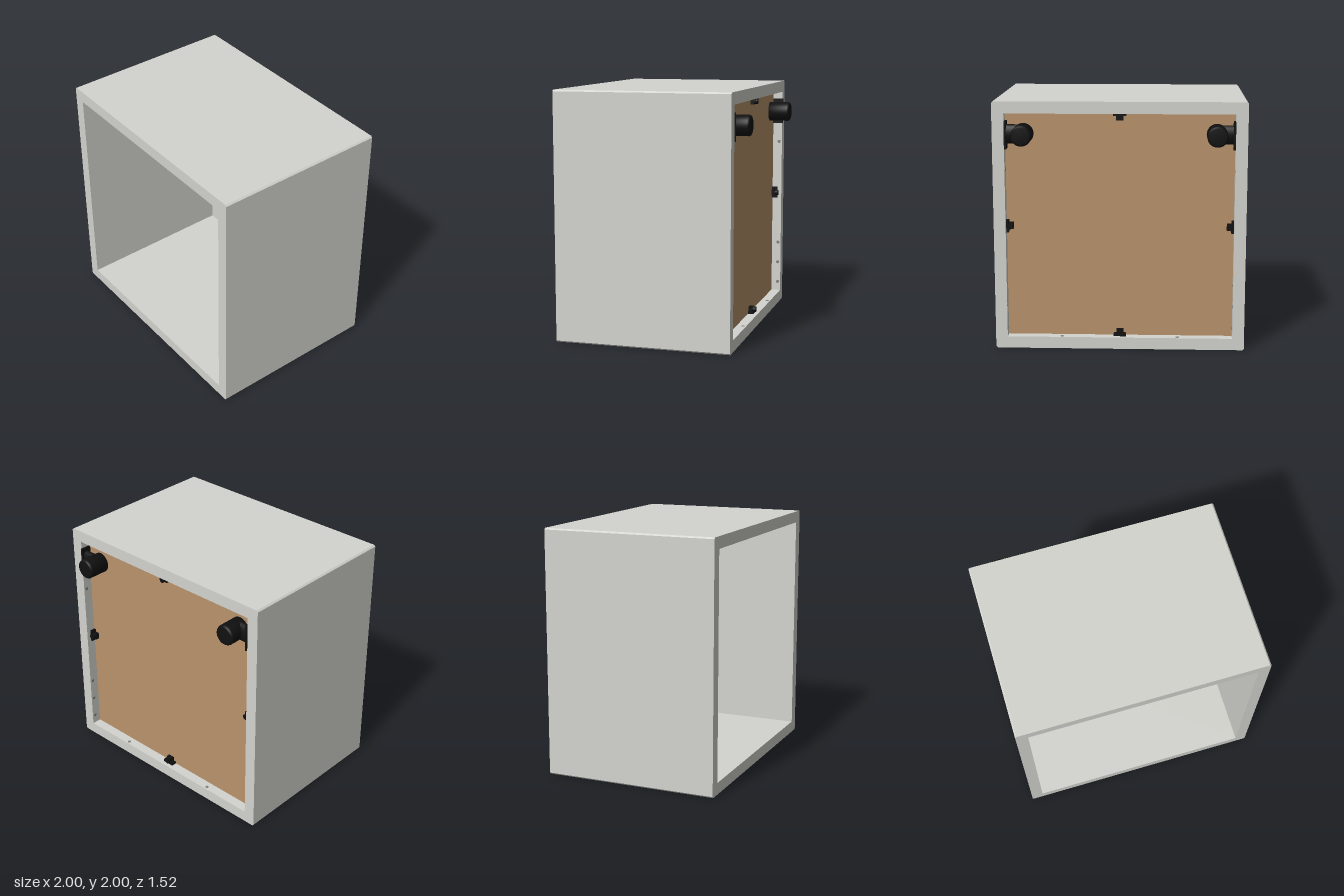
import * as THREE from 'three';

const INNER = 0.905;            // half size of the opening
const BACK = -0.66, FRONT = 0.76;
const PANEL_BACK = -0.58, PANEL_FRONT = -0.555;

export function createModel() {
  const mat = (name, color) => {
    const m = new THREE.MeshStandardMaterial({ color });
    m.name = name;
    return m;
  };
  const grey = mat('paleGreyLaminate', 0xd4d4cf);
  const brown = mat('brownHardboard', 0xba946c);
  const black = mat('blackPlastic', 0x111111);
  const dark = mat('holeGrey', 0x85857f);

  const model = new THREE.Group();
  model.name = 'wallCabinet';
  const add = (parent, name, geo, material, x = 0, y = 0, z = 0) => {
    const m = new THREE.Mesh(geo, material);
    m.name = name;
    m.position.set(x, y, z);
    parent.add(m);
    return m;
  };

  // Mitred board with a small chamfer at each outer corner
  const c = 0.012;
  const shape = new THREE.Shape([
    [-INNER, INNER], [INNER, INNER], [1 - c / 2, 1 - c / 2], [1 - c, 1],
    [-1 + c, 1], [-1 + c / 2, 1 - c / 2],
  ].map(([x, y]) => new THREE.Vector2(x, y)));
  const boardGeo = new THREE.ExtrudeGeometry(shape, { depth: FRONT - BACK, bevelEnabled: false });

  const clipPlate = new THREE.BoxGeometry(0.1, 0.02, 0.045);
  const clipTongue = new THREE.BoxGeometry(0.055, 0.055, 0.03);
  const clipPin = new THREE.CylinderGeometry(0.02, 0.024, 0.03, 16).rotateX(Math.PI / 2);
  const holeGeo = new THREE.CylinderGeometry(0.014, 0.014, 0.004, 16);

  // Four sides: board, panel clip and screw holes
  ['topSide', 'leftSide', 'bottomSide', 'rightSide'].forEach((name, i) => {
    const side = new THREE.Group();
    side.name = name;
    side.position.y = 1;
    side.rotation.z = -i * Math.PI / 2;
    model.add(side);
    add(side, 'board', boardGeo, grey, 0, 0, BACK);

    const clip = new THREE.Group();
    clip.name = 'panelClip';
    clip.position.set(0, INNER, PANEL_BACK);
    side.add(clip);
    add(clip, 'clipPlate', clipPlate, black, 0, -0.01, -0.0225);
    add(clip, 'clipTongue', clipTongue, black, 0, -0.028, -0.015);
    add(clip, 'clipPin', clipPin, black, 0, -0.03, -0.042);

    const heights = [0.46, -0.46, -0.643, -0.826];
    const spots = i % 2 === 0 ? [-0.465, 0.465] : heights.map((h) => (i === 1 ? -h : h));
    for (const x of spots) add(side, 'screwHole', holeGeo, dark, x, INNER - 0.001, -0.635);
  });

  // Back panel: laminated inside, bare board behind
  add(model, 'backPanel', new THREE.BoxGeometry(1.83, 1.83, PANEL_FRONT - PANEL_BACK),
    [grey, grey, grey, grey, grey, brown], 0, 1, (PANEL_FRONT + PANEL_BACK) / 2);

  // Hanging fittings in the upper corners, with cover caps inside
  const r = 0.082, end = 0.18, e = 0.018;
  const barrelGeo = new THREE.LatheGeometry([
    [0, 0], [r, 0], [r, end - e], [r - e * 0.3, end - e * 0.3], [r - e, end], [0, end],
  ].map(([x, y]) => new THREE.Vector2(x, y)), 32).rotateX(-Math.PI / 2);
  const armGeo = new THREE.CylinderGeometry(0.04, 0.04, 0.15, 24)
    .rotateZ(Math.PI / 2).scale(1, 1.9, 1);
  const capGeo = new THREE.SphereGeometry(0.073, 32, 12, 0, Math.PI * 2, 0, Math.PI / 2)
    .rotateX(Math.PI / 2).scale(1, 1, 0.25);
  for (const s of [-1, 1]) {
    const fitting = new THREE.Group();
    fitting.name = s > 0 ? 'leftHanger' : 'rightHanger';
    fitting.position.set(s * 0.762, 1.74, 0);
    model.add(fitting);
    add(fitting, 'barrel', barrelGeo, black, 0, 0, PANEL_BACK);
    add(fitting, 'arm', armGeo, black, s * 0.068, 0, -0.619);
    add(fitting, 'wallPlate', new THREE.BoxGeometry(0.016, 0.22, 0.09), black, s * 0.135, -0.005, -0.623);
    add(fitting, 'coverCap', capGeo, grey, 0, 0, PANEL_FRONT);
  }
  return model;
}
